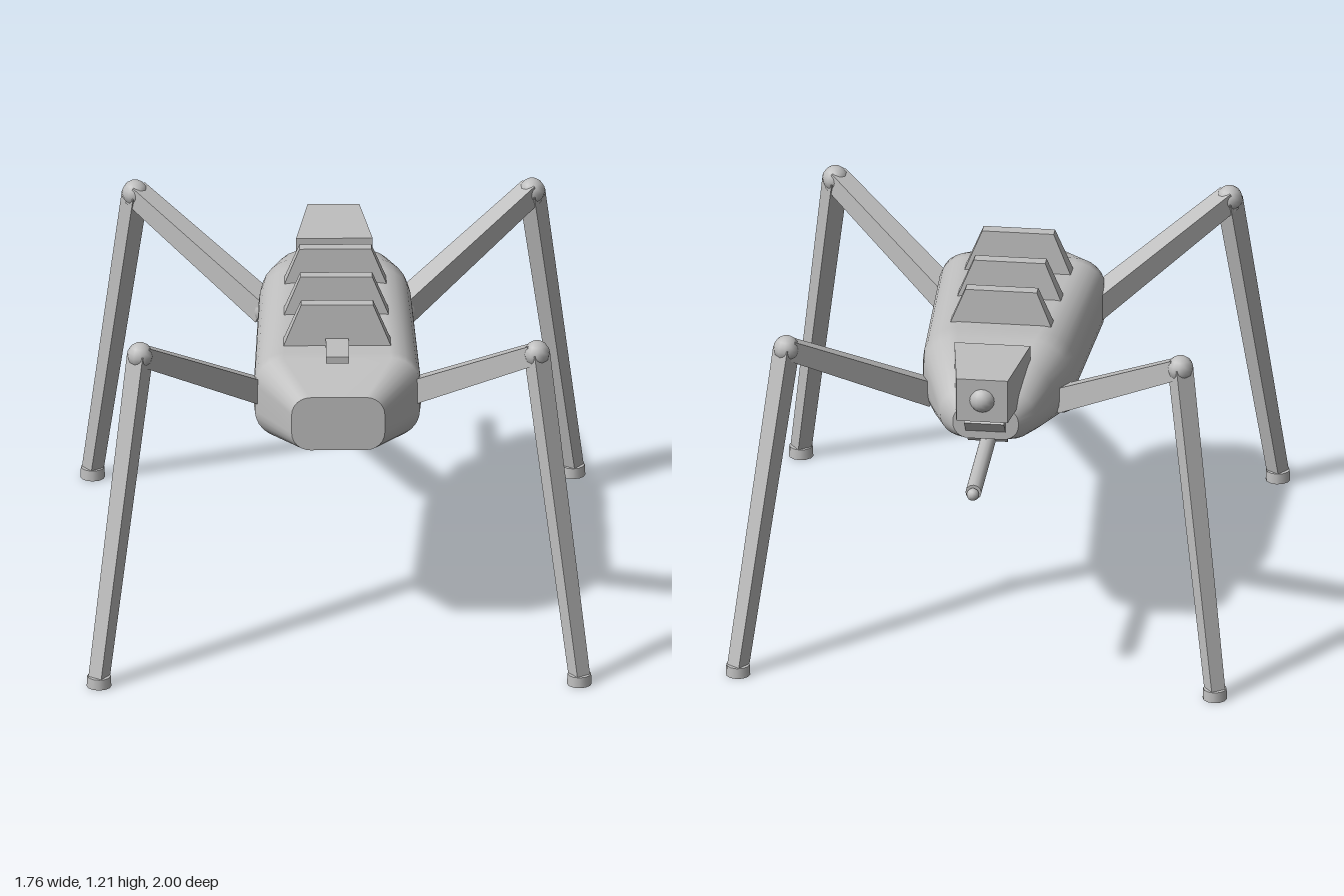
import * as THREE from 'three';

const grey = new THREE.MeshStandardMaterial({ color: 0xbfbfbf });
grey.name = 'plain grey';

function add(parent, name, geometry, x = 0, y = 0, z = 0) {
  const mesh = new THREE.Mesh(geometry, grey);
  mesh.name = name;
  mesh.position.set(x, y, z);
  parent.add(mesh);
  return mesh;
}

// Box along y whose section changes from w0 x d0 (bottom) to w1 x d1 (top)
function taperedBox(w0, d0, w1, d1, h) {
  const g = new THREE.BoxGeometry(1, h, 1);
  const p = g.attributes.position;
  for (let i = 0; i < p.count; i++) {
    const top = p.getY(i) > 0;
    p.setX(i, p.getX(i) * (top ? w1 : w0));
    p.setZ(i, p.getZ(i) * (top ? d1 : d0));
  }
  g.computeVertexNormals();
  return g;
}

// Straight limb between two points
function limb(parent, name, from, to, s0, s1) {
  const g = taperedBox(s0, s0, s1, s1, from.distanceTo(to)).rotateX(Math.PI / 2);
  const mid = from.clone().lerp(to, 0.5);
  add(parent, name, g, mid.x, mid.y, mid.z).lookAt(to);
}

// Rounded-rectangle outline, counter-clockwise seen from +z
function ring(hw, y0, y1, r) {
  const pts = [], steps = 6;
  const corners = [[hw - r, y1 - r], [r - hw, y1 - r], [r - hw, y0 + r], [hw - r, y0 + r]];
  corners.forEach(([cx, cy], k) => {
    for (let i = 0; i <= steps; i++) {
      const a = (k + i / steps) * Math.PI / 2;
      pts.push(new THREE.Vector2(cx + r * Math.cos(a), cy + r * Math.sin(a)));
    }
  });
  return pts;
}

function buildHull(parent) {
  // z, half width, bottom, top, corner radius
  const sections = [
    [0.68, 0.162, 0.768, 0.967, 0.065],
    [0.48, 0.287, 0.732, 1.03, 0.1],
    [0.44, 0.29, 0.731, 1.033, 0.105],
    [-0.22, 0.265, 0.754, 1.067, 0.12],
    [-0.3, 0.255, 0.758, 1.068, 0.12],
    [-0.44, 0.21, 0.785, 1.04, 0.1],
    [-0.56, 0.165, 0.81, 0.985, 0.08],
    [-0.605, 0.115, 0.825, 0.945, 0.055],
  ];
  const rings = sections.map(([, hw, y0, y1, r]) => ring(hw, y0, y1, r));
  const n = rings[0].length, pos = [], index = [];
  rings.forEach((pts, i) => pts.forEach(p => pos.push(p.x, p.y, sections[i][0])));
  for (let i = 0; i < rings.length - 1; i++) {
    for (let j = 0; j < n; j++) {
      const a = i * n + j, b = i * n + (j + 1) % n;
      index.push(a, a + n, b, b, a + n, b + n);
    }
  }
  const g = new THREE.BufferGeometry();
  g.setAttribute('position', new THREE.Float32BufferAttribute(pos, 3));
  g.setIndex(index);
  g.computeVertexNormals();
  add(parent, 'hull', g);
  add(parent, 'hullFront', new THREE.ShapeGeometry(new THREE.Shape(rings[0])), 0, 0, 0.68);
  const back = new THREE.ShapeGeometry(new THREE.Shape(rings[rings.length - 1])).rotateY(Math.PI);
  add(parent, 'hullBack', back, 0, 0, -0.605);
}

function buildLeg(parent, side, end) {
  const leg = new THREE.Group();
  leg.name = (end > 0 ? 'front' : 'back') + (side > 0 ? 'LeftLeg' : 'RightLeg');
  parent.add(leg);
  const front = end > 0;
  const hip = new THREE.Vector3(side * 0.235, 0.865, front ? 0.41 : -0.325);
  const knee = new THREE.Vector3(side * 0.69, 1.163, front ? 0.752 : -0.668);
  const foot = new THREE.Vector3(side * 0.835, 0.03, front ? 0.957 : -0.87);
  limb(leg, 'upperLeg', hip, knee, 0.085, 0.07);
  limb(leg, 'lowerLeg', knee, foot, 0.066, 0.054);
  add(leg, 'hipJoint', new THREE.SphereGeometry(0.05, 12, 8), hip.x, hip.y, hip.z);
  add(leg, 'kneeJoint', new THREE.SphereGeometry(0.046, 12, 8), knee.x, knee.y, knee.z);
  add(leg, 'footPad', new THREE.CylinderGeometry(0.041, 0.043, 0.038, 12), foot.x, 0.019, foot.z);
}

export function createModel() {
  const model = new THREE.Group();
  model.name = 'fourLeggedWalker';
  buildHull(model);

  // Deck: three fins and a centre rail
  for (const z of [0.352, 0.108, -0.136]) {
    add(model, 'backFin', taperedBox(0.39, 0.068, 0.25, 0.042, 0.17), 0, 1.1, z);
  }
  add(model, 'deckRail', new THREE.BoxGeometry(0.08, 0.025, 0.57), 0, 1.049, 0.257);

  // Sensor head on a tilted neck at the rear
  add(model, 'neck', new THREE.BoxGeometry(0.14, 0.17, 0.17), 0, 0.906, -0.537).rotation.x = Math.PI / 4;
  const head = taperedBox(0.266, 0.16, 0.18, 0.16, 0.3).rotateX(-Math.PI / 2);
  add(model, 'head', head, 0, 1.018, -0.56);
  add(model, 'lens', new THREE.SphereGeometry(0.048, 16, 12), 0, 1.018, -0.69);

  // Rod under the tail
  const rod = new THREE.CylinderGeometry(0.028, 0.028, 0.495, 12).rotateX(-Math.PI / 2);
  add(model, 'tailRod', rod, 0, 0.786, -0.712).rotation.x = -0.015;
  add(model, 'rodTip', new THREE.SphereGeometry(0.022, 12, 8), 0, 0.782, -0.976);

  // Legs
  for (const side of [1, -1]) for (const end of [1, -1]) buildLeg(model, side, end);
  return model;
}
